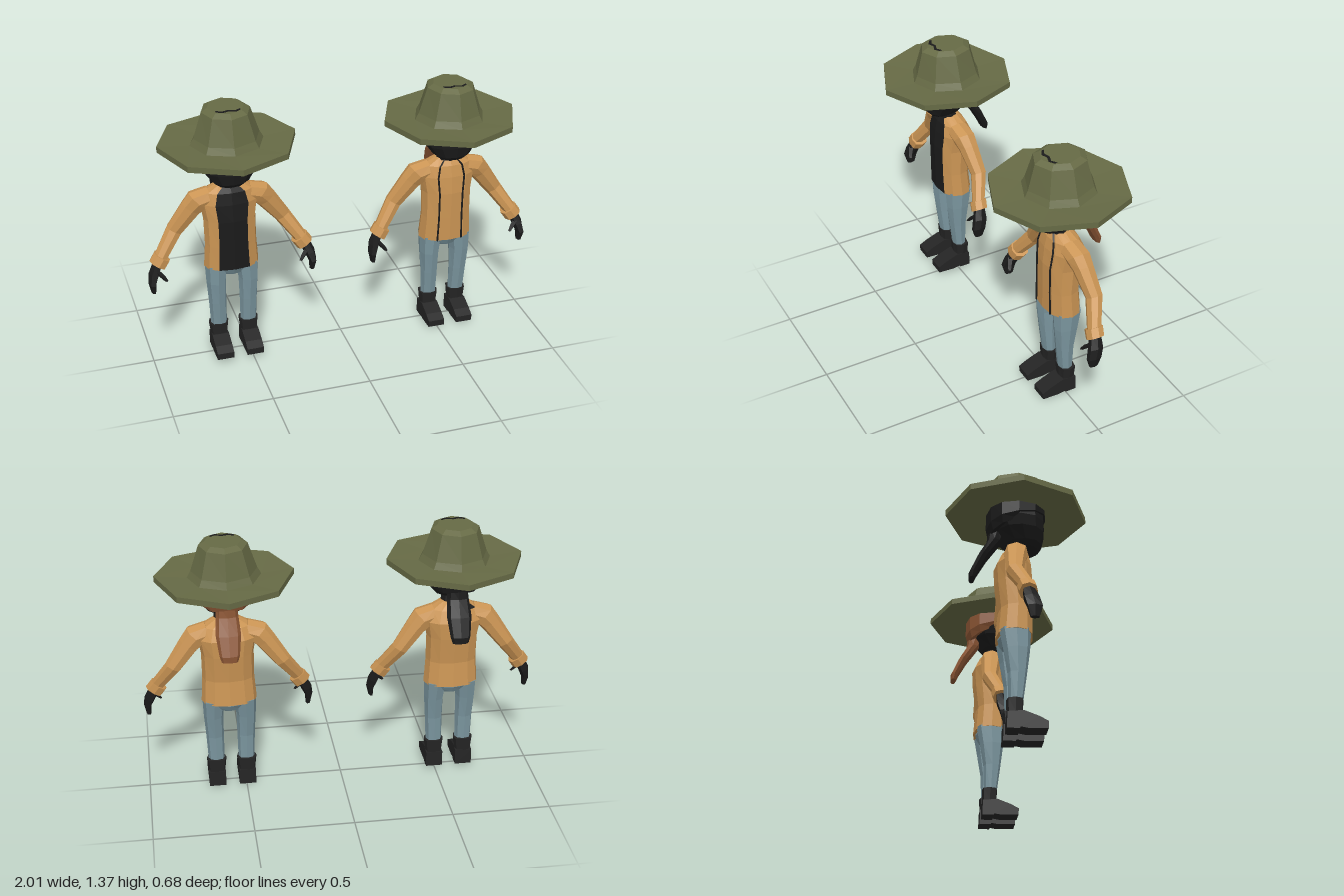
import * as THREE from 'three';

const mat = (name, color) => {
  const m = new THREE.MeshStandardMaterial({ color, flatShading: true });
  m.name = name;
  return m;
};

// One cross-section: centre, half width, half depth, sides, tilt in the xy plane
function ring(x, y, z, w, d, n = 8, tilt = 0, pow = 0.85, lift = () => 0) {
  const soft = v => Math.sign(v) * Math.pow(Math.abs(v), pow);
  return Array.from({ length: n }, (_, j) => {
    const a = (j / n) * Math.PI * 2;
    const u = soft(Math.cos(a)) * w;
    return new THREE.Vector3(x + u * Math.cos(tilt), y + u * Math.sin(tilt) + lift(a), z + soft(Math.sin(a)) * d);
  });
}

// Skin over rings listed from bottom to top; keep() selects which faces are made
function loft(rings, { side = 1, caps = true, keep = () => true } = {}) {
  const rs = side > 0 ? rings
    : rings.map(r => r.map(p => new THREE.Vector3(-p.x, p.y, p.z)).reverse());
  const pos = [], n = rs[0].length, last = rs[rs.length - 1];
  const tri = (...ps) => ps.forEach(p => pos.push(p.x, p.y, p.z));
  for (let i = 0; i < rs.length - 1; i++) {
    for (let j = 0; j < n; j++) {
      if (!keep(i, j)) continue;
      const k = (j + 1) % n;
      tri(rs[i][j], rs[i + 1][j], rs[i + 1][k]);
      tri(rs[i][j], rs[i + 1][k], rs[i][k]);
    }
  }
  if (caps) {
    for (let j = 1; j < n - 1; j++) {
      tri(rs[0][0], rs[0][j], rs[0][j + 1]);
      tri(last[0], last[j + 1], last[j]);
    }
  }
  const g = new THREE.BufferGeometry();
  g.setAttribute('position', new THREE.Float32BufferAttribute(pos, 3));
  g.computeVertexNormals();
  return g;
}

function figure(name, m, hairMat, open) {
  const group = new THREE.Group();
  group.name = name;
  const add = (part, geo, material) => {
    const mesh = new THREE.Mesh(geo, material);
    mesh.name = part;
    group.add(mesh);
    return mesh;
  };

  // Hat: octagonal brim, tapered crown and a small dark crease
  const wave = a => 0.013 * Math.cos(a) ** 2;
  add('hat', loft([
    ring(0, 1.14, 0, 0.342, 0.342, 8, 0, 1, wave),
    ring(0, 1.17, 0, 0.342, 0.342, 8, 0, 1, wave),
    ring(0, 1.166, 0, 0.182, 0.182, 8, 0, 1),
    ring(0, 1.2, 0, 0.163, 0.166, 8, 0, 1),
    ring(0, 1.332, 0, 0.12, 0.132, 8, 0, 1),
    ring(0, 1.35, 0, 0.09, 0.1, 8, 0, 1),
  ]), m.olive);
  const crease = new THREE.Shape([[-0.06, 0.05], [-0.03, 0.065], [0, 0.055], [0.035, 0.067], [0.06, 0.05],
    [0.06, 0.063], [0.035, 0.08], [0, 0.068], [-0.03, 0.08], [-0.06, 0.063]].map(p => new THREE.Vector2(p[0], -p[1])));
  add('hatCrease', new THREE.ExtrudeGeometry(crease, { depth: 0.004, bevelEnabled: false })
    .rotateX(-Math.PI / 2).translate(0, 1.348, 0), m.black);

  // Head and neck
  add('head', loft([
    ring(0, 0.965, 0.045, 0.065, 0.06, 12),
    ring(0, 0.985, 0.035, 0.095, 0.088, 12),
    ring(0, 1.04, 0.017, 0.135, 0.118, 12),
    ring(0, 1.09, 0.005, 0.152, 0.132, 12),
    ring(0, 1.16, 0, 0.15, 0.136, 12),
  ]), m.black);
  add('neck', loft([ring(0, 0.91, 0, 0.065, 0.045), ring(0, 0.99, 0.01, 0.055, 0.045)]), m.black);

  // Hair cap, lower at the back, with a tied tail
  const slope = a => 0.045 * Math.sin(a);
  add('hair', loft([
    ring(0, 1.07, -0.005, 0.138, 0.128, 12, 0, 0.85, slope),
    ring(0, 1.1, -0.002, 0.157, 0.144, 12, 0, 0.85, a => slope(a) * 0.7),
    ring(0, 1.16, 0, 0.157, 0.146, 12),
  ]), hairMat);
  add('ponytail', loft([
    ring(0, 0.798, -0.212, 0.04, 0.014),
    ring(0, 0.83, -0.205, 0.05, 0.022),
    ring(0, 0.92, -0.16, 0.062, 0.027),
    ring(0, 1.0, -0.108, 0.055, 0.034),
    ring(0, 1.06, -0.09, 0.05, 0.045),
  ]), hairMat);

  // Jacket body; the open version shows the shirt at the front and one shoulder
  const body = [
    [0.49, -0.012, 0.14, 0.088], [0.62, -0.005, 0.131, 0.083], [0.76, -0.012, 0.132, 0.092],
    [0.85, -0.018, 0.148, 0.09], [0.91, -0.01, 0.125, 0.07], [0.945, -0.005, 0.062, 0.046],
  ].map(([y, z, w, d]) => ring(0, y, z, w, d, 12));
  const isShirt = (i, j) => open && (j === 2 || j === 3 || (i === 4 && j === 7));
  add('jacketBody', loft(body, { keep: (i, j) => !isShirt(i, j) }), m.tan);
  if (open) {
    add('shirt', loft(body, { caps: false, keep: isShirt }), m.black);
  } else {
    for (const j of [2, 4]) {
      add('jacketSeam', loft(body.map(r => ring(r[j].x * 0.85, r[j].y, r[j].z + 0.004, 0.005, 0.006, 4))), m.black);
    }
  }

  // Hips
  add('hips', loft([
    ring(0, 0.445, -0.014, 0.075, 0.055),
    ring(0, 0.48, -0.014, 0.125, 0.074),
    ring(0, 0.55, -0.012, 0.122, 0.07),
  ]), m.denim);

  for (const side of [1, -1]) {
    const s = side > 0 ? 'left' : 'right';
    // Sleeve with a turned cuff
    add(s + 'Sleeve', loft([
      ring(0.36, 0.585, 0.008, 0.034, 0.034, 8, 0.6),
      ring(0.275, 0.705, -0.038, 0.042, 0.04, 8, 0.55),
      ring(0.19, 0.82, -0.025, 0.053, 0.05, 8, 0.6),
      ring(0.155, 0.86, -0.018, 0.06, 0.058, 8, 0.8),
      ring(0.09, 0.88, -0.012, 0.05, 0.055, 8, 1.2),
    ], { side }), m.tan);
    add(s + 'Cuff', loft([
      ring(0.377, 0.551, 0.012, 0.046, 0.042, 8, 0.6),
      ring(0.35, 0.59, 0.005, 0.046, 0.043, 8, 0.6),
    ], { side }), m.tan);
    // Hand and thumb
    add(s + 'Hand', loft([
      ring(0.408, 0.41, 0.035, 0.012, 0.022, 6, 0.1),
      ring(0.412, 0.46, 0.035, 0.02, 0.038, 6, 0.2),
      ring(0.4, 0.505, 0.022, 0.027, 0.038, 6, 0.4),
      ring(0.375, 0.56, 0.012, 0.026, 0.028, 6, 0.6),
    ], { side }), m.black);
    add(s + 'Thumb', loft([
      ring(0.345, 0.478, 0.062, 0.009, 0.01, 4),
      ring(0.362, 0.5, 0.052, 0.014, 0.014, 4),
      ring(0.395, 0.53, 0.028, 0.018, 0.018, 4),
    ], { side }), m.black);
    // Trouser leg
    add(s + 'Leg', loft([
      ring(0.077, 0.12, -0.014, 0.041, 0.032),
      ring(0.08, 0.28, -0.006, 0.045, 0.045),
      ring(0.083, 0.4, -0.008, 0.05, 0.062),
      ring(0.078, 0.5, -0.014, 0.058, 0.074),
    ], { side }), m.denim);
    // Boot shaft and foot
    add(s + 'BootShaft', loft([
      ring(0.078, 0.03, -0.018, 0.042, 0.038, 8, 0, 0.6),
      ring(0.078, 0.08, -0.018, 0.043, 0.037, 8, 0, 0.6),
      ring(0.078, 0.148, -0.018, 0.051, 0.04, 8, 0, 0.6),
    ], { side }), m.charcoal);
    const foot = new THREE.Shape([[-0.058, 0], [0, 0], [0.005, 0.008], [0.04, 0.002], [0.13, 0.006],
      [0.132, 0.04], [0.09, 0.062], [0.02, 0.088], [-0.055, 0.08]].map(p => new THREE.Vector2(...p)));
    add(s + 'Foot', new THREE.ExtrudeGeometry(foot, { depth: 0.086, bevelEnabled: false })
      .rotateY(-Math.PI / 2).translate(0.078 * side + 0.043, 0, 0), m.charcoal);
  }
  return group;
}

export function createModel() {
  const m = {
    olive: mat('olive felt', 0x666a45),
    tan: mat('tan jacket', 0xcb9554),
    denim: mat('blue denim', 0x7a959e),
    brown: mat('brown hair', 0x8a5534),
    black: mat('black', 0x1b1b1b),
    charcoal: mat('charcoal boots', 0x242424),
  };
  const model = new THREE.Group();
  model.name = 'twoFigures';
  const first = figure('openJacketFigure', m, m.black, true);
  first.position.set(-0.572, 0.02, 0);
  const second = figure('closedJacketFigure', m, m.brown, false);
  second.position.set(0.572, 0, 0);
  model.add(first, second);
  return model;
}
